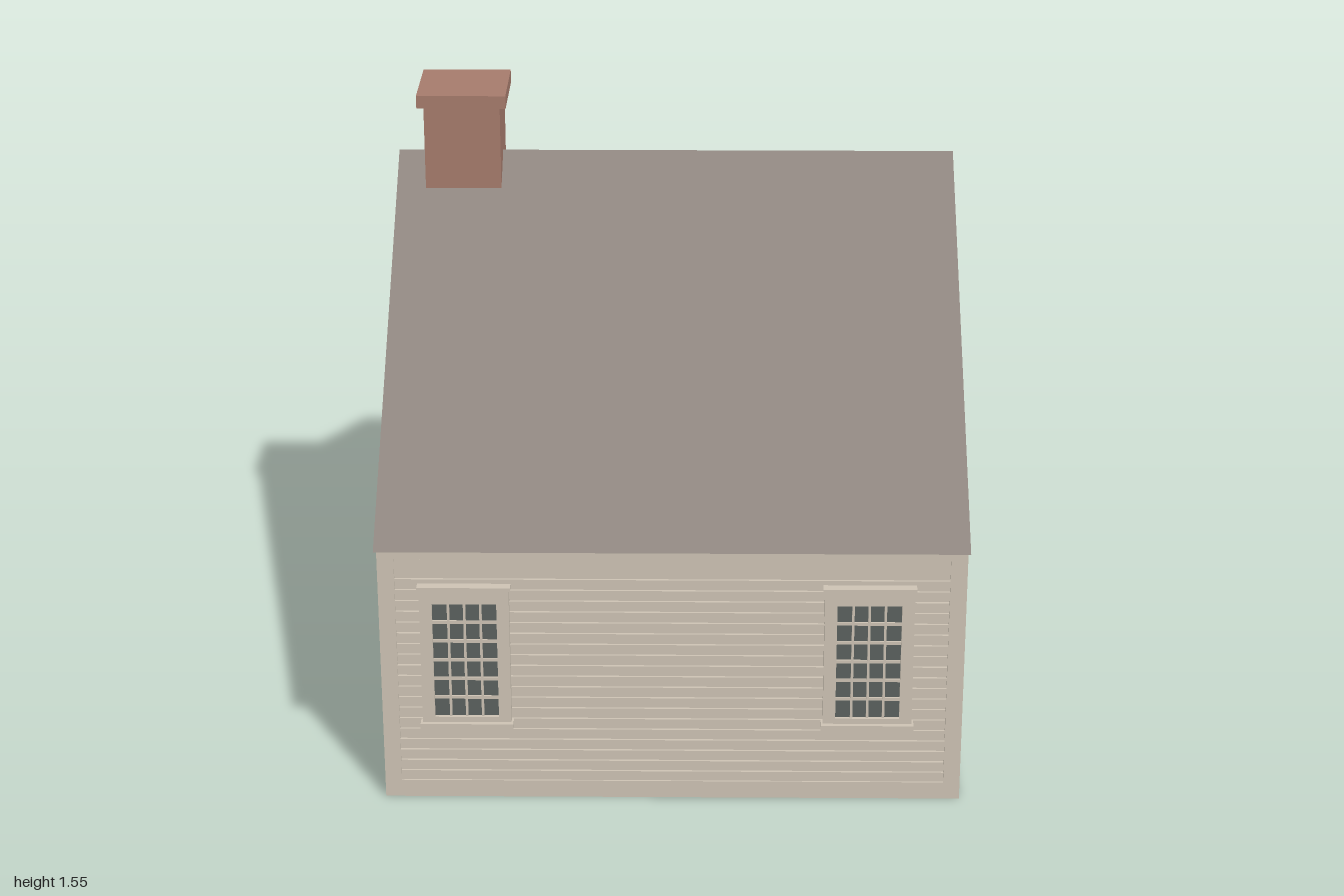
import * as THREE from 'three';

const paint = (name, color, side = THREE.FrontSide) => {
  const m = new THREE.MeshStandardMaterial({ color, side });
  m.name = name;
  return m;
};

export function createModel() {
  const siding = paint('beige paint', 0xcdc3b4, THREE.DoubleSide);
  const shingle = paint('roof grey', 0x8f867f);
  const brick = paint('brick', 0xa67b6c);
  const glass = paint('window glass', 0x5b615f);
  const doorPaint = paint('door brown', 0x7d736b);

  const house = new THREE.Group();
  house.name = 'house';

  // Box given by its two extreme corners
  const box = (parent, name, mat, x0, x1, y0, y1, z0, z1) => {
    const mesh = new THREE.Mesh(new THREE.BoxGeometry(x1 - x0, y1 - y0, z1 - z0), mat);
    mesh.position.set((x0 + x1) / 2, (y0 + y1) / 2, (z0 + z1) / 2);
    mesh.name = name;
    parent.add(mesh);
    return mesh;
  };

  const group = (parent, name) => {
    const g = new THREE.Group();
    g.name = name;
    parent.add(g);
    return g;
  };

  // Rectangular casing of four strips
  const casing = (parent, name, x0, x1, y0, y1, side, bottom, top, z0, z1) => {
    box(parent, name, siding, x0, x0 + side, y0, y1, z0, z1);
    box(parent, name, siding, x1 - side, x1, y0, y1, z0, z1);
    if (bottom) box(parent, name, siding, x0 + side, x1 - side, y0, y0 + bottom, z0, z1);
    box(parent, name, siding, x0 + side, x1 - side, y1 - top, y1, z0, z1);
  };

  // Wall facing local +z: backing, corner boards and clapboards
  const H = 0.69, CX = -0.01, CZ = 0.0775, PITCH = 0.0289, GAP = 0.007;
  const wall = (name, half, x, z, turn) => {
    const g = group(house, name);
    g.position.set(x, 0, z);
    g.rotation.y = turn;
    box(g, 'wallPanel', siding, -half + 0.012, half - 0.012, 0, H, -0.018, -0.01);
    casing(g, 'wallTrim', -half, half, 0, H, 0.04, 0.045, 0.045, -0.012, 0);
    const w = half - 0.04;
    let top = H - 0.045;
    for (let i = 0; i <= 19; i++) {
      const bottom = i < 19 ? 0.597 - i * PITCH : 0.045;
      box(g, 'clapboard', siding, -w, w, bottom, top, -0.011, -0.004);
      top = bottom - GAP;
    }
    return g;
  };

  // Sash window with 4 x 6 panes, sill and head moulding
  const addWindow = (parent, cx) => {
    const g = group(parent, 'window');
    g.position.x = cx;
    const w = 0.077, y0 = 0.228, y1 = 0.532;
    box(g, 'windowGlass', glass, -w, w, y0, y1, -0.002, 0.004);
    casing(g, 'windowCasing', -0.107, 0.107, 0.21, 0.57, 0.03, 0.018, 0.038, -0.01, 0.013);
    for (let i = 1; i < 4; i++) {
      const x = -w + (2 * w * i) / 4;
      box(g, 'muntin', siding, x - 0.003, x + 0.003, y0, y1, 0, 0.008);
    }
    for (let i = 1; i < 6; i++) {
      const y = y0 + ((y1 - y0) * i) / 6;
      box(g, 'muntin', siding, -w, w, y - 0.004, y + 0.004, 0, 0.0075);
    }
    box(g, 'windowSill', siding, -0.112, 0.112, 0.2, 0.214, -0.01, 0.024);
    box(g, 'windowHead', siding, -0.111, 0.111, 0.569, 0.579, -0.01, 0.02);
  };

  const front = wall('frontWall', 0.7, CX, 0.945, 0);
  const back = wall('backWall', 0.7, CX, -0.79, Math.PI);
  const right = wall('windowSideWall', 0.8675, 0.69, CZ, Math.PI / 2);
  wall('plainSideWall', 0.8675, -0.71, CZ, -Math.PI / 2);
  for (const x of [-0.495, 0.47]) {
    addWindow(front, x);
    addWindow(back, -x);
  }
  addWindow(right, 0);

  // Back door with its casing
  const door = group(back, 'door');
  door.position.x = 0.08;
  box(door, 'doorPanel', doorPaint, -0.1, 0.1, 0.09, 0.54, -0.006, 0.003);
  casing(door, 'doorCasing', -0.122, 0.122, 0.09, 0.565, 0.022, 0, 0.025, -0.01, 0.013);
  box(door, 'doorHead', siding, -0.128, 0.128, 0.564, 0.576, -0.01, 0.02);

  // Hollow steps, open underneath
  const step = (...ends) => {
    const geo = box(house, 'doorStep', siding, ...ends).geometry;
    const index = Array.from(geo.index.array);
    index.splice(18, 6);
    geo.clearGroups();
    geo.setIndex(index);
  };
  step(-0.27, 0.08, 0, 0.09, -0.93, -0.79);
  step(-0.25, 0.06, 0, 0.045, -1, -0.93);

  // Gable roof: triangle in (-z, y) extruded along x
  const gable = new THREE.Shape([
    new THREE.Vector2(-1, H), new THREE.Vector2(0.845, H), new THREE.Vector2(-0.0775, 1.372),
  ]);
  const roofGeo = new THREE.ExtrudeGeometry(gable, { depth: 1.402, bevelEnabled: false });
  roofGeo.rotateY(Math.PI / 2);
  const roof = new THREE.Mesh(roofGeo, shingle);
  roof.position.x = -0.711;
  roof.name = 'roof';
  house.add(roof);

  // Chimney, reaching just below the ceiling
  box(house, 'chimneyStack', brick, -0.638, -0.448, 0.59, 1.516, -0.017, 0.172);
  box(house, 'chimneyCap', brick, -0.654, -0.432, 1.516, 1.549, -0.033, 0.188);

  return house;
}
